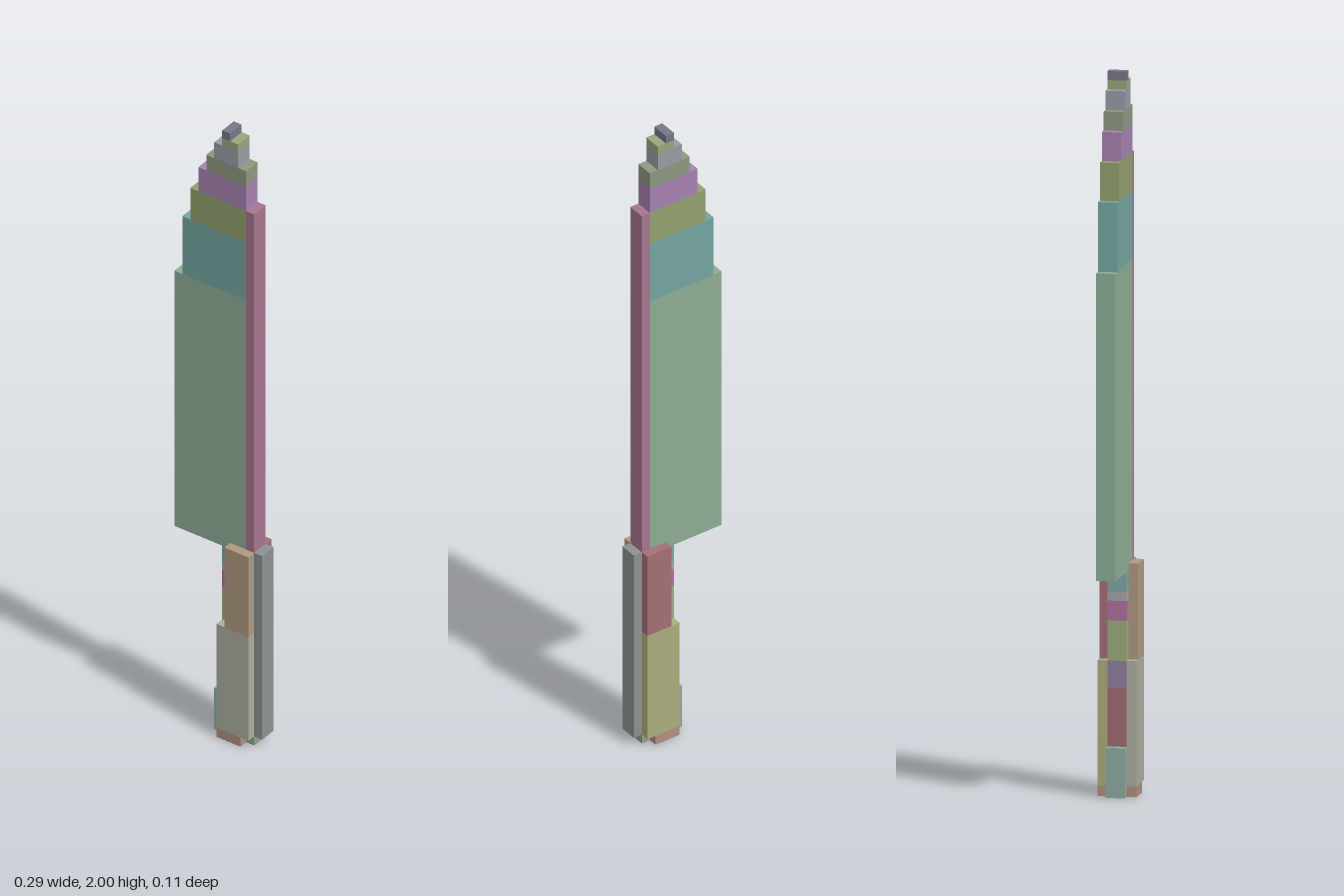
import * as THREE from 'three';

// All widths are multiples of one cell
const U = 0.0268;

export function createModel() {
  const root = new THREE.Group();
  root.name = 'knife';

  // Box from x cells (measured from the centre), y limits and z cells
  function box(parent, name, color, x0, x1, y0, y1, z0 = -1, z1 = 1) {
    const geo = new THREE.BoxGeometry((x1 - x0) * U, y1 - y0, (z1 - z0) * U);
    const mesh = new THREE.Mesh(geo, new THREE.MeshStandardMaterial({ color, flatShading: true }));
    mesh.position.set((x0 + x1) * U / 2, (y0 + y1) / 2, (z0 + z1) * U / 2);
    mesh.name = name;
    parent.add(mesh);
  }

  // Blade: steps narrowing towards the tip
  const blade = new THREE.Group();
  blade.name = 'blade';
  root.add(blade);
  [
    [0x8dac94, -5.5, 3.5, 0.62, 1.468],
    [0x74a5a1, -4.5, 3.5, 1.468, 1.66],
    [0x92a06e, -3.5, 3.5, 1.66, 1.765],
    [0xa681b0, -2.5, 3.5, 1.765, 1.845],
    [0x8d9880, -1.5, 3.5, 1.845, 1.897],
    [0x9a9aa5, -0.5, 2.5, 1.897, 1.95],
    [0x98a67c, 0.5, 2.5, 1.95, 1.975],
    [0x777788, 0.5, 1.5, 1.975, 2.0],
  ].forEach(([color, x0, x1, y0, y1], i) => box(blade, `bladeStep${i + 1}`, color, x0, x1, y0, y1));
  box(blade, 'spine', 0xa6758f, 3.5, 4.5, 0.62, 1.765);

  // Handle: banded core between two pairs of grip plates
  const handle = new THREE.Group();
  handle.name = 'handle';
  root.add(handle);
  [
    [0x7fa5a5, 0.565, 0.62],
    [0xa5a5a5, 0.54, 0.565],
    [0xb070a0, 0.485, 0.54],
    [0x9bac7c, 0.375, 0.485],
    [0x8f7f9f, 0.3, 0.375],
    [0xa06a70, 0.03, 0.3],
  ].forEach(([color, y0, y1], i) => box(handle, `coreBand${i + 1}`, color, 0.5, 4.5, y0, y1));
  box(handle, 'upperGripFront', 0xae987f, 1.5, 4.5, 0.375, 0.64, 1, 2);
  box(handle, 'lowerGripFront', 0xabad9f, 0.5, 4.5, 0.03, 0.375, 1, 2);
  box(handle, 'upperGripBack', 0xa36f76, 1.5, 4.5, 0.375, 0.64, -2, -1);
  box(handle, 'lowerGripBack', 0xacad7d, 0.5, 4.5, 0.03, 0.375, -2, -1);
  box(handle, 'backStrap', 0x8c9090, 4.5, 5.5, 0.03, 0.64);

  // Pommel
  box(handle, 'pommelCap', 0xb09080, 0.5, 3.5, 0, 0.03, -2, 2);
  box(handle, 'pommelHeel', 0x8fa088, 3.5, 4.5, 0, 0.03);
  box(handle, 'pommelHook', 0x8faba0, -0.5, 0.5, 0, 0.138);

  return root;
}
